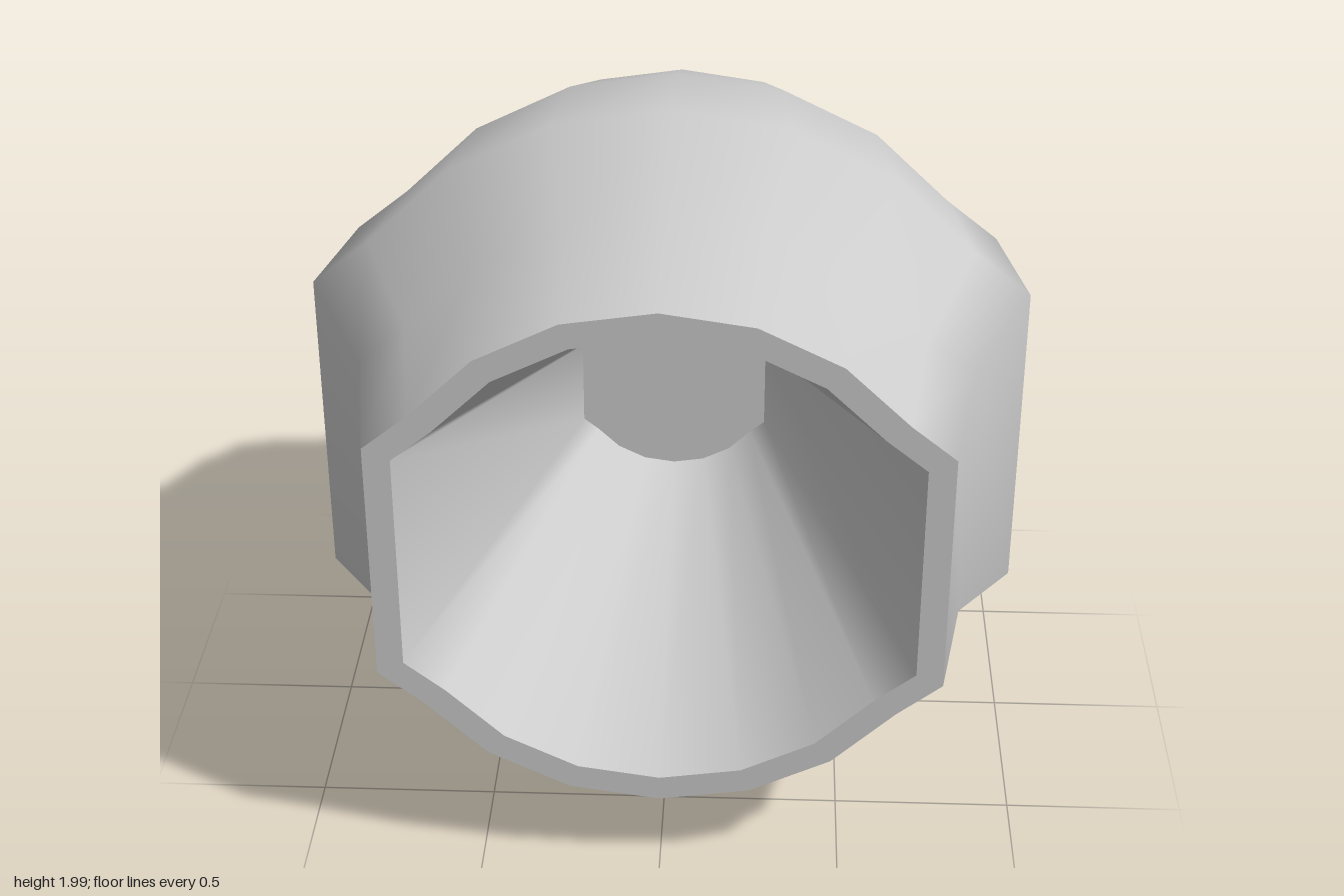
import * as THREE from 'three';

const CENTER_Y = 0.993;
const FRONT_Z = 0.805;
const FLOOR_Z = -0.2;
const RIM = 0.763; // outer scale at both ends
const MOUTH = 0.69; // inner scale at the opening
const FLOOR = 0.27;

// Unit cross-section: rounded top and bottom, flat sides, counter-clockwise
const corner = [[1, 0.46], [0.84, 0.588], [0.615, 0.803], [0.325, 0.945]];
const upper = [...corner, [0, 0.993], ...corner.map(([x, y]) => [-x, y]).reverse()];
const section = [...upper, ...upper.map(([x, y]) => [-x, -y])];

// Skin through scaled sections; rising z faces outward, falling z inward
function loft(rings) {
  const n = section.length, positions = [], index = [];
  for (const [z, s] of rings) for (const [x, y] of section) positions.push(x * s, y * s, z);
  for (let r = 0; r < rings.length - 1; r++) {
    for (let i = 0; i < n; i++) {
      const a = r * n + i, b = r * n + (i + 1) % n;
      index.push(a, b, b + n, a, b + n, a + n);
    }
  }
  const geometry = new THREE.BufferGeometry();
  geometry.setAttribute('position', new THREE.Float32BufferAttribute(positions, 3));
  geometry.setIndex(index);
  geometry.computeVertexNormals();
  return geometry;
}

const points = (s) => section.map(([x, y]) => new THREE.Vector2(x * s, y * s));

// Flat cap facing +z, with an optional opening
function cap(size, hole) {
  const shape = new THREE.Shape(points(size));
  if (hole) shape.holes.push(new THREE.Path(points(hole).reverse()));
  return new THREE.ShapeGeometry(shape);
}

export function createModel() {
  const group = new THREE.Group();
  group.name = 'barrelCup';
  const material = new THREE.MeshStandardMaterial({ color: 0xcccccc });
  const add = (name, geometry, z = 0) => {
    const mesh = new THREE.Mesh(geometry, material);
    mesh.name = name;
    mesh.position.set(0, CENTER_Y, z);
    group.add(mesh);
    return mesh;
  };

  // Bulging outer wall, narrowing behind the mouth
  add('outerWall', loft([[-FRONT_Z, RIM], [-0.34, 0.937], [0.08, 1], [0.4, 0.83], [FRONT_Z, RIM]]));

  // Rim and tapering hollow
  add('rim', cap(RIM, MOUTH), FRONT_Z);
  add('innerWall', loft([[FRONT_Z, MOUTH], [FLOOR_Z, FLOOR]]));
  add('innerFloor', cap(FLOOR), FLOOR_Z);

  // Closed back
  add('backCap', cap(RIM), -FRONT_Z).rotation.y = Math.PI;

  return group;
}
